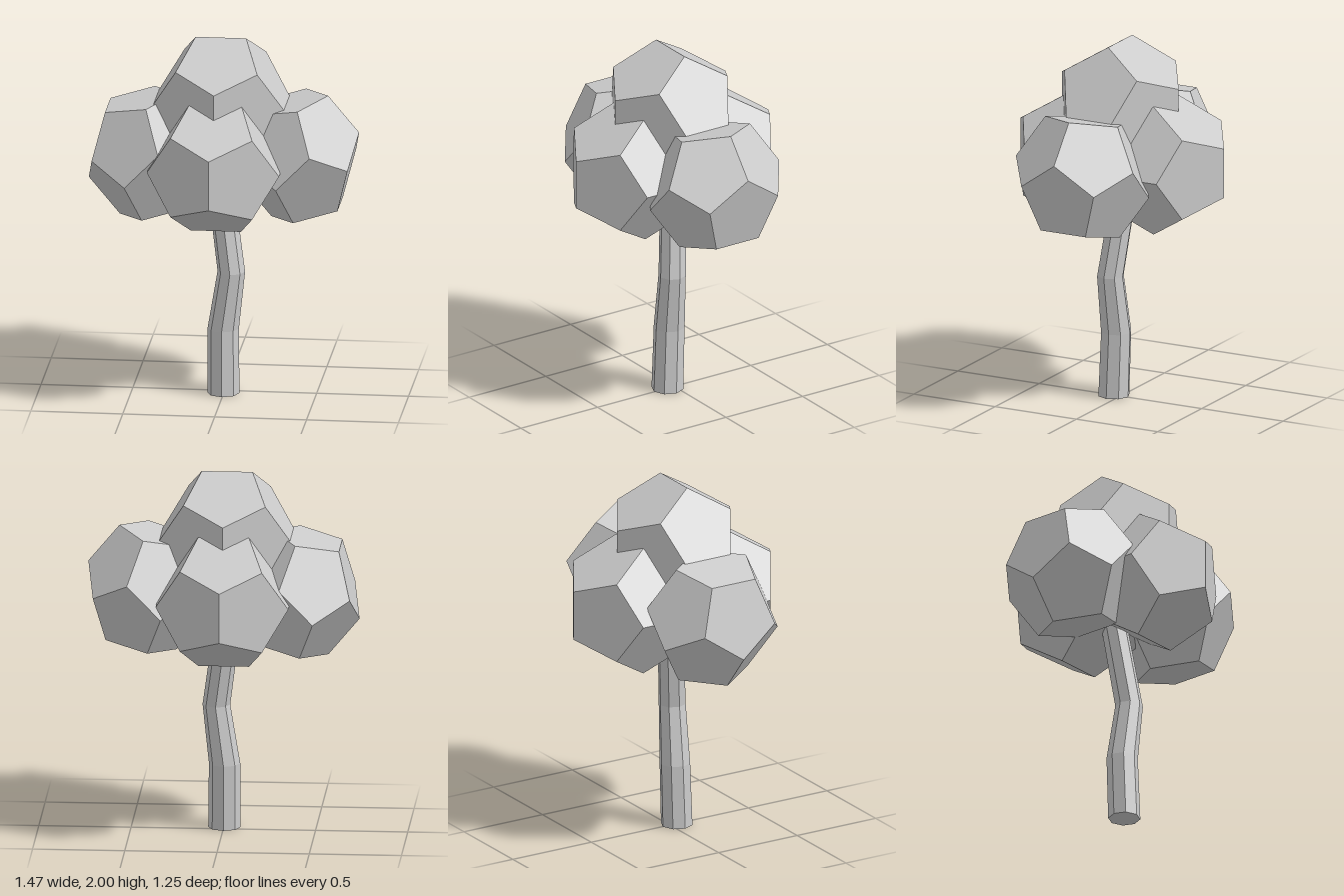
import * as THREE from 'three';

const material = new THREE.MeshStandardMaterial({ color: 0xcccccc, flatShading: true });

// Bent eight-sided trunk: each ring is [x, y, z, radius], bottom to top
function createTrunk() {
  const rings = [
    [-0.003, 0.004, 0.042, 0.0875],
    [-0.005, 0.365, 0.029, 0.085],
    [0.04, 0.69, 0.04, 0.075],
    [-0.03, 1.2, -0.015, 0.072],
  ];
  const last = rings.length - 1;
  const geometry = new THREE.CylinderGeometry(1, 1, last, 8, last);
  const pos = geometry.attributes.position;
  for (let i = 0; i < pos.count; i++) {
    const [x, y, z, r] = rings[Math.round(pos.getY(i) + last / 2)];
    pos.setXYZ(i, x + pos.getX(i) * r, y, z + pos.getZ(i) * r);
  }
  geometry.computeVertexNormals();
  const trunk = new THREE.Mesh(geometry, material);
  trunk.name = 'trunk';
  return trunk;
}

// One faceted leaf clump; the tilt is applied before the sideways squash
function createClump(name, x, y, z, tilt = 0, squash = 1) {
  const geometry = new THREE.DodecahedronGeometry(0.385);
  geometry.rotateZ(tilt);
  geometry.scale(squash, 1, 1);
  geometry.computeVertexNormals();
  const clump = new THREE.Mesh(geometry, material);
  clump.name = name;
  clump.position.set(x, y, z);
  return clump;
}

export function createModel() {
  const tree = new THREE.Group();
  tree.name = 'tree';
  tree.add(createTrunk());

  // Crown of five clumps
  const crown = new THREE.Group();
  crown.name = 'crown';
  const tilt = THREE.MathUtils.degToRad(-47.3);
  crown.add(
    createClump('topLeaves', -0.02, 1.64, 0.012),
    createClump('frontLeaves', -0.02, 1.343, 0.267),
    createClump('backLeaves', -0.02, 1.343, -0.267),
    createClump('leftLeaves', 0.409, 1.346, 0.012, tilt, 0.904),
    createClump('rightLeaves', -0.415, 1.333, 0.012, tilt, 0.904),
  );
  tree.add(crown);
  return tree;
}
